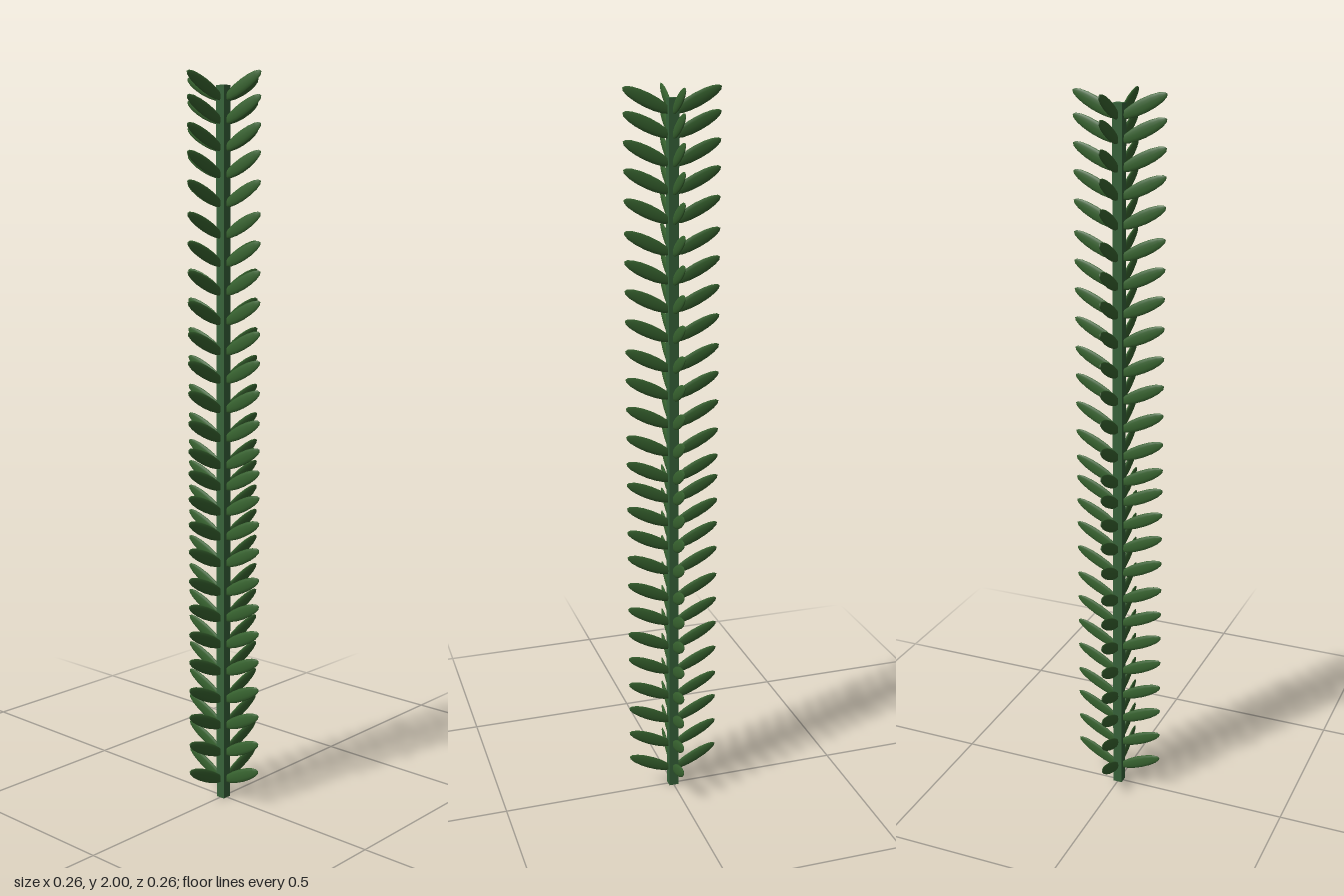
import * as THREE from 'three';

export function createModel() {
  const model = new THREE.Group();
  model.name = 'leafyStalk';
  const stemMaterial = new THREE.MeshStandardMaterial({ color: 0x37633a, flatShading: true });
  const leafMaterial = new THREE.MeshStandardMaterial({ color: 0x37632f });

  // Square stem
  const stemHeight = 1.97;
  const stem = new THREE.Mesh(new THREE.BoxGeometry(0.027, stemHeight, 0.027), stemMaterial);
  stem.name = 'stem';
  stem.position.y = stemHeight / 2;
  model.add(stem);

  // Thin upright blade, rising outward from the stem
  const leafGeometry = new THREE.SphereGeometry(1, 12, 8);
  leafGeometry.rotateZ(-Math.PI / 2);
  leafGeometry.scale(0.071, 0.018, 0.005);
  leafGeometry.rotateZ(0.45);
  leafGeometry.translate(0.067, 0, 0);

  // Tip heights of one section; the stalk is two sections stacked
  const tips = [0.115, 0.195, 0.275, 0.352, 0.433, 0.512, 0.588, 0.663, 0.745, 0.82, 0.89, 0.96, 1.02];
  const sectionHeight = 0.98;
  // The side pair is turned slightly from the x axis
  const directions = [-0.06, Math.PI / 2, Math.PI - 0.06, -Math.PI / 2];

  for (let section = 0; section < 2; section++) {
    for (const tip of tips) {
      const whorl = new THREE.Group();
      whorl.name = 'leafWhorl';
      whorl.position.y = tip - 0.035 + section * sectionHeight;
      for (const angle of directions) {
        const leaf = new THREE.Mesh(leafGeometry, leafMaterial);
        leaf.name = 'leaf';
        leaf.rotation.y = angle;
        whorl.add(leaf);
      }
      model.add(whorl);
    }
  }
  return model;
}
